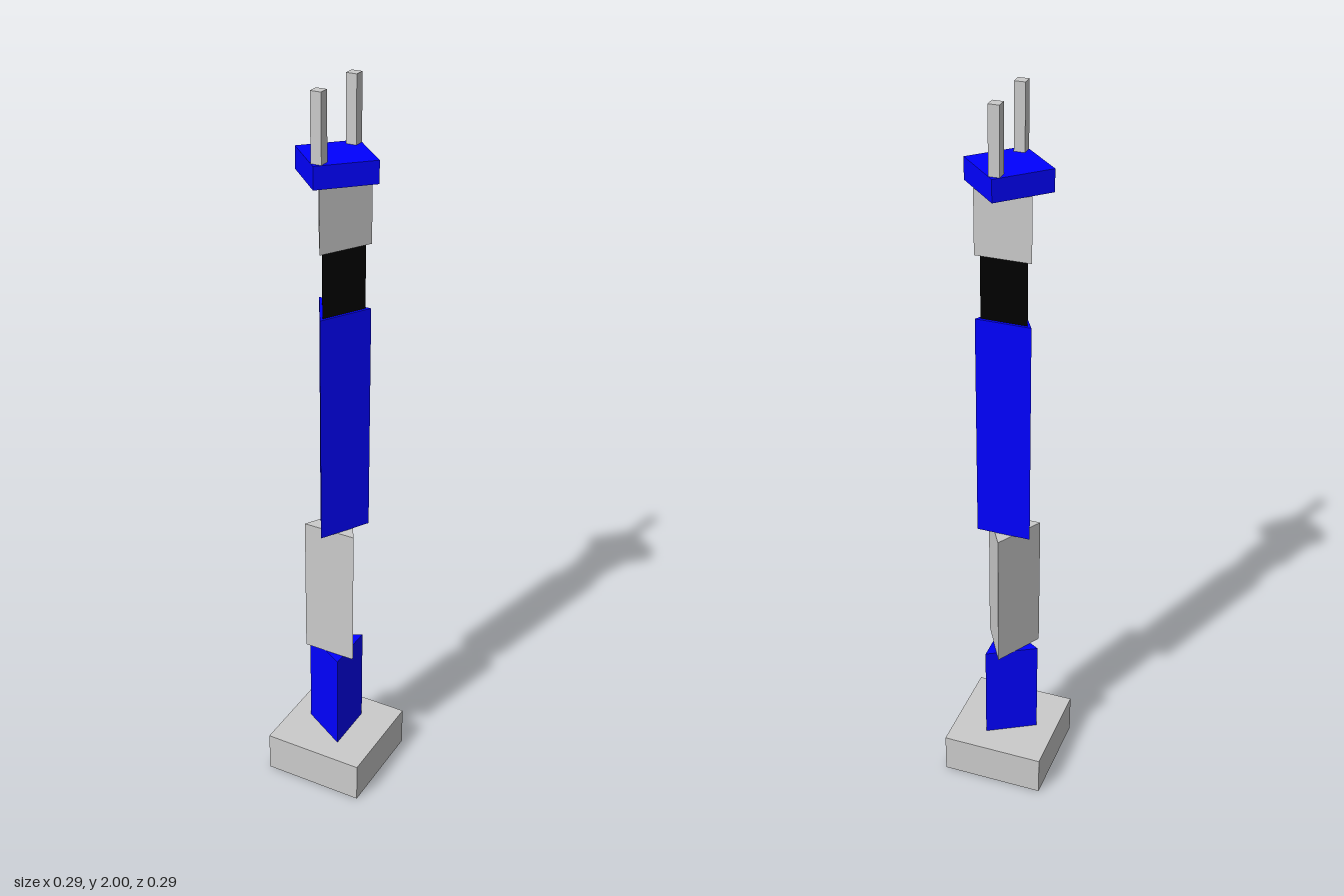
import * as THREE from 'three';

const material = (color) => new THREE.MeshStandardMaterial({ color, flatShading: true });

export function createModel() {
  const arm = new THREE.Group();
  arm.name = 'robotArm';
  const grey = material(0xcccccc);
  const blue = material(0x0000ff);
  const black = material(0x000000);

  // Adds a mesh standing between two heights
  const add = (name, geometry, mat, bottom, top, z = 0) => {
    const mesh = new THREE.Mesh(geometry, mat);
    mesh.name = name;
    mesh.position.set(0, (bottom + top) / 2, z);
    arm.add(mesh);
  };
  const box = (name, width, mat, bottom, top, z) =>
    add(name, new THREE.BoxGeometry(width, top - bottom, width), mat, bottom, top, z);
  // Upright prism; at turn 0 one edge points to the front
  const prism = (name, sides, radius, mat, bottom, top, turn = 0) =>
    add(name, new THREE.CylinderGeometry(radius, radius, top - bottom, sides).rotateY(turn), mat, bottom, top);

  // Square foot
  box('base', 0.286, grey, 0, 0.114);

  // Triangular arm segments, each turned about the upright axis
  prism('shoulder', 3, 0.0857, blue, 0.114, 0.4, -Math.PI / 2);
  prism('upperArm', 3, 0.0857, grey, 0.4, 0.8, Math.PI);
  prism('forearm', 3, 0.0857, blue, 0.8, 1.429);
  prism('wristJoint', 3, 0.0714, black, 1.429, 1.6);
  prism('wrist', 3, 0.0857, grey, 1.6, 1.771);

  // Diamond palm with two gripper fingers
  prism('palm', 4, 0.1143, blue, 1.771, 1.829);
  for (const [name, side] of [['frontFinger', 1], ['backFinger', -1]]) {
    box(name, 0.0286, grey, 1.829, 2, side * 0.0857);
  }
  return arm;
}
